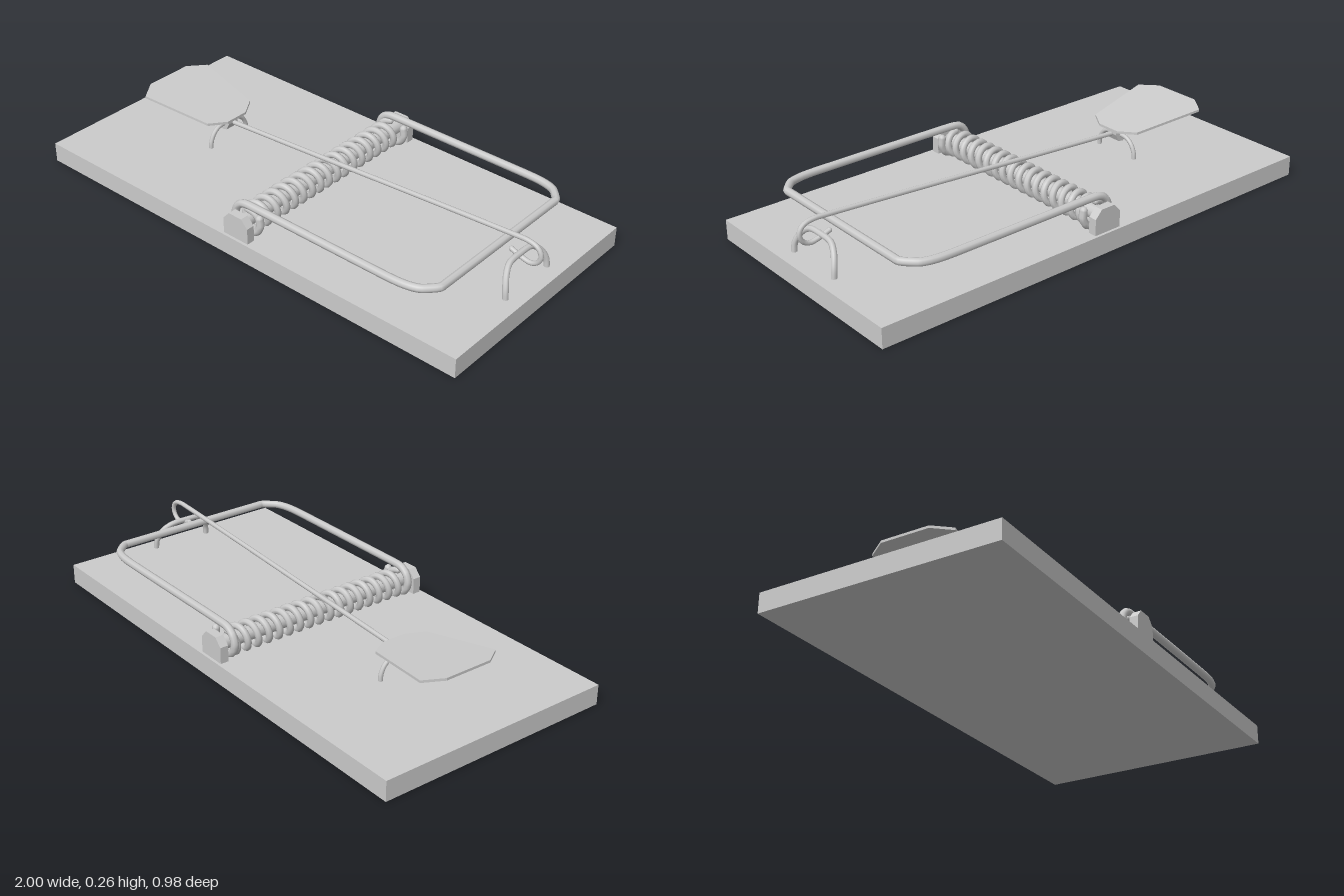
import * as THREE from 'three';

const material = new THREE.MeshStandardMaterial({ color: 0xcccccc });
const v = (x, y, z) => new THREE.Vector3(x, y, z);

export function createModel() {
  const model = new THREE.Group();

  const add = (name, geometry) => {
    const mesh = new THREE.Mesh(geometry, material);
    mesh.name = name;
    model.add(mesh);
    return mesh;
  };

  // Bent wire through points, closed with round ends
  const wire = (name, points, radius, segments = 60, tension = 0.3) => {
    const curve = new THREE.CatmullRomCurve3(points, false, 'catmullrom', tension);
    const mesh = add(name, new THREE.TubeGeometry(curve, segments, radius, 8, false));
    for (const p of [points[0], points[points.length - 1]]) {
      const end = new THREE.Mesh(new THREE.SphereGeometry(radius, 8, 6), material);
      end.position.copy(p);
      mesh.add(end);
    }
    return mesh;
  };

  // Wooden board
  add('base', new THREE.BoxGeometry(2, 0.08, 0.98)).position.y = 0.04;

  // Coil spring around its axle
  const turns = 17, steps = turns * 12, coil = [];
  for (let i = 0; i <= steps; i++) {
    const a = (i / steps) * turns * Math.PI * 2 + Math.PI / 2;
    coil.push(v(-0.005 + 0.047 * Math.cos(a), 0.127 + 0.047 * Math.sin(a), -0.41 + (0.82 * i) / steps));
  }
  wire('spring', coil, 0.0135, steps * 2, 0.5);

  const axle = add('axle', new THREE.CylinderGeometry(0.028, 0.028, 0.92, 12));
  axle.rotation.x = Math.PI / 2;
  axle.position.set(-0.005, 0.13, 0);

  // End brackets holding the axle
  const bracket = new THREE.Shape([
    [-0.062, 0.078], [0.057, 0.078], [0.057, 0.145], [0.028, 0.177], [-0.033, 0.177], [-0.062, 0.145],
  ].map(([x, y]) => new THREE.Vector2(x, y)));
  for (const s of [1, -1]) {
    add('axleBracket', new THREE.ExtrudeGeometry(bracket, { depth: 0.034, bevelEnabled: false }))
      .position.z = s * 0.462 - 0.017;
  }

  // Striking bar: one wire whose two ends curl around the axle
  const half = [];
  for (let i = 0; i <= 10; i++) {
    const a = (380 - i * 29) * Math.PI / 180;
    half.push(v(0.062 * Math.cos(a), 0.138 + 0.058 * Math.sin(a), 0.415));
  }
  half.push(v(0.1, 0.197, 0.415), v(0.64, 0.197, 0.415), v(0.73, 0.197, 0.408),
    v(0.775, 0.197, 0.392), v(0.818, 0.197, 0.345), v(0.82, 0.197, 0.3));
  const mirrored = half.map((p) => v(p.x, p.y, -p.z)).reverse();
  wire('strikingBar', [...half, ...mirrored], 0.0155, 240);

  // Holding rod with its hooked end
  wire('holdingRod', [
    v(-0.47, 0.167, 0), v(0, 0.197, 0), v(0.5, 0.23, 0), v(0.86, 0.252, 0), v(0.93, 0.254, 0),
    v(0.97, 0.242, 0), v(0.986, 0.212, 0), v(0.974, 0.182, 0), v(0.945, 0.168, 0),
    v(0.905, 0.176, 0), v(0.865, 0.19, 0),
  ], 0.0095, 120, 0.5);

  // Staples: arched wires set in the board
  const staple = (name, x, lean, width, height, radius) => wire(name, [
    [-1, 0], [-0.97, 0.4], [-0.8, 0.76], [-0.5, 0.97], [0, 1], [0.5, 0.97], [0.8, 0.76], [0.97, 0.4], [1, 0],
  ].map(([z, t]) => v(x - lean * t * t, 0.07 + height * t, z * width)), radius, 48, 0.5);
  staple('rodStaple', 0.938, 0.037, 0.126, 0.117, 0.0115);
  staple('pedalStaple', -0.507, 0, 0.1, 0.09, 0.009);

  // Bait pedal: thin sloping plate
  const outline = new THREE.Shape([
    [-0.845, 0.1], [-0.795, 0.174], [-0.5, 0.12], [-0.457, 0.05],
    [-0.457, -0.05], [-0.5, -0.12], [-0.795, -0.174], [-0.845, -0.1],
  ].map(([x, z]) => new THREE.Vector2(x, z)));
  const plate = new THREE.ExtrudeGeometry(outline, { depth: 0.01, bevelEnabled: false });
  plate.rotateX(-Math.PI / 2);
  const pos = plate.attributes.position;
  for (let i = 0; i < pos.count; i++) {
    pos.setY(i, pos.getY(i) + 0.188 - (pos.getX(i) + 0.457) * 0.122);
  }
  plate.computeVertexNormals();
  add('baitPedal', plate);

  // Folded tab under the pedal, gripping its staple
  const tab = new THREE.Shape([
    [-0.54, 0.2], [-0.53, 0.145], [-0.515, 0.132], [-0.492, 0.137], [-0.478, 0.165], [-0.478, 0.192],
  ].map(([x, y]) => new THREE.Vector2(x, y)));
  add('pedalTab', new THREE.ExtrudeGeometry(tab, { depth: 0.05, bevelEnabled: false }))
    .position.z = -0.025;

  return model;
}
